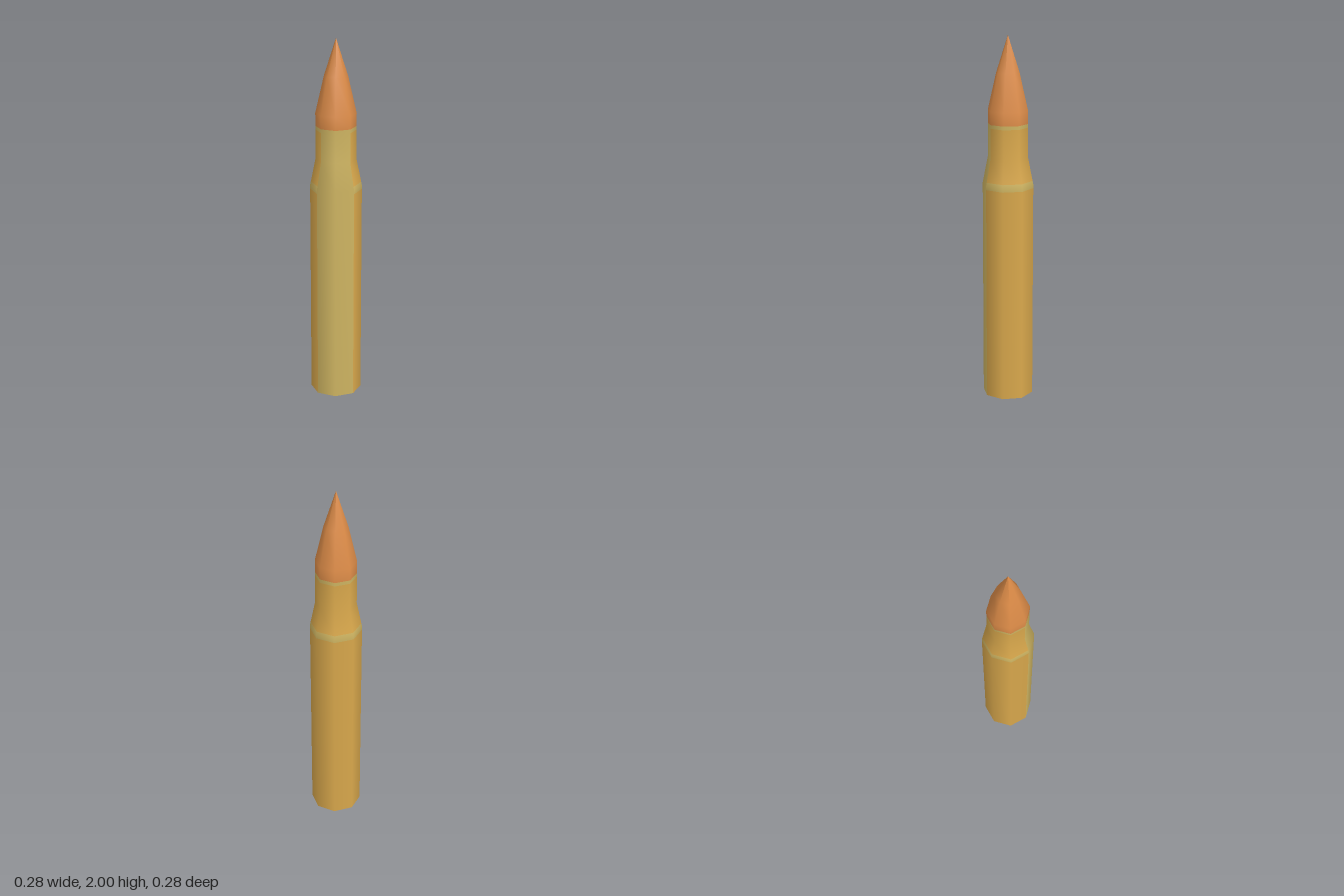
import * as THREE from 'three';

export function createModel() {
  const group = new THREE.Group();
  group.name = 'cartridge';

  const material = (name, color) => {
    const m = new THREE.MeshStandardMaterial({ color });
    m.name = name;
    return m;
  };
  const brass = material('brass', 0xd9a84c);
  const paleBrass = material('paleBrass', 0xcfb562);
  const copper = material('copper', 0xdd8c48);

  const add = (name, geometry, mat) => {
    const mesh = new THREE.Mesh(geometry, mat);
    mesh.name = name;
    group.add(mesh);
    return mesh;
  };

  // Eight-sided shell swept from a [radius, height] profile, over some of its sides
  const shell = (name, profile, mat, firstSide = 0, sides = 8) => add(
    name,
    new THREE.LatheGeometry(
      profile.map(([r, y]) => new THREE.Vector2(r, y)),
      sides, firstSide * Math.PI / 4, sides * Math.PI / 4
    ),
    mat
  );

  // Case: brass on six sides, with pale bands at the shoulder and mouth
  shell('caseBody', [[0.14, 0], [0.14, 1.18]], brass, 0, 6);
  shell('shoulderBand', [[0.14, 1.18], [0.14, 1.2], [0.136, 1.22]], paleBrass, 0, 6);
  shell('shoulderAndNeck', [[0.136, 1.22], [0.11, 1.35], [0.11, 1.51]], brass, 0, 6);
  shell('mouthBand', [[0.11, 1.51], [0.11, 1.53]], paleBrass, 0, 6);

  // Pale strip covering the remaining two sides of the case
  shell('paleCaseSide', [[0.14, 0], [0.14, 1.2], [0.11, 1.35], [0.11, 1.53]], paleBrass, 6, 2);

  // Pointed tip
  shell('tip', [[0.11, 1.53], [0.11, 1.6], [0.064, 1.8], [0, 2]], copper);

  // Flat base
  add('base', new THREE.CircleGeometry(0.14, 8), brass).rotation.x = Math.PI / 2;

  return group;
}
